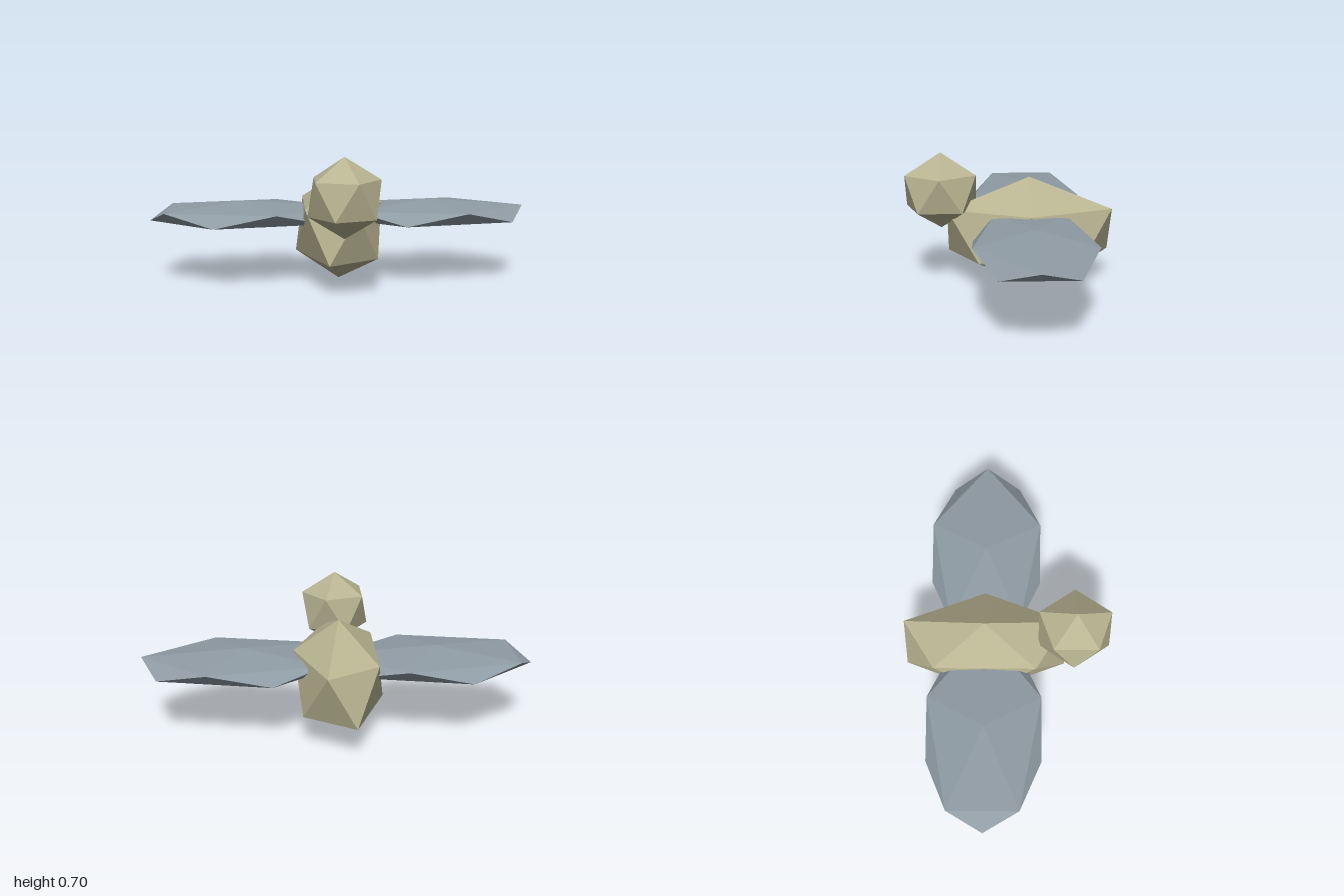
import * as THREE from 'three';

const bodyTan = new THREE.MeshStandardMaterial({ color: 0xb8b491, name: 'bodyTan' });
const wingGrey = new THREE.MeshStandardMaterial({ color: 0x8f9ba4, name: 'wingGrey' });

// Faceted icosahedron with poles on y: a ring of five above, a ring of five below
function icoGeometry(rx, ry, rz) {
  const h = 1 / Math.sqrt(5), r = 2 * h;
  const point = (i, y) => {
    const a = (i * Math.PI) / 5;
    return [r * Math.cos(a) * rx, y * ry, r * Math.sin(a) * rz];
  };
  const top = [0, ry, 0], bottom = [0, -ry, 0];
  const corners = [];
  for (let i = 0; i < 5; i++) {
    const u0 = point(2 * i, h), u1 = point(2 * i + 2, h);
    const l0 = point(2 * i + 1, -h), l1 = point(2 * i + 3, -h);
    corners.push(top, u1, u0, u0, u1, l0, l0, u1, l1, bottom, l0, l1);
  }
  const geometry = new THREE.BufferGeometry();
  geometry.setAttribute('position', new THREE.Float32BufferAttribute(corners.flat(), 3));
  geometry.computeVertexNormals(); // unshared corners keep every facet flat
  return geometry;
}

export function createModel() {
  const model = new THREE.Group();
  model.name = 'bird';
  const add = (name, material, radii, position) => {
    const mesh = new THREE.Mesh(icoGeometry(...radii), material);
    mesh.name = name;
    mesh.position.set(...position);
    model.add(mesh);
  };

  // Long body and small raised head
  add('body', bodyTan, [0.257, 0.286, 0.5], [0, 0.286, -0.106]);
  add('head', bodyTan, [0.2, 0.2, 0.2145], [0, 0.503, 0.352]);

  // Flat wings, both facing the same way
  for (const [name, side] of [['leftWing', 1], ['rightWing', -1]]) {
    add(name, wingGrey, [0.572, 0.0715, 0.343], [side * 0.489, 0.358, -0.106]);
  }
  return model;
}
